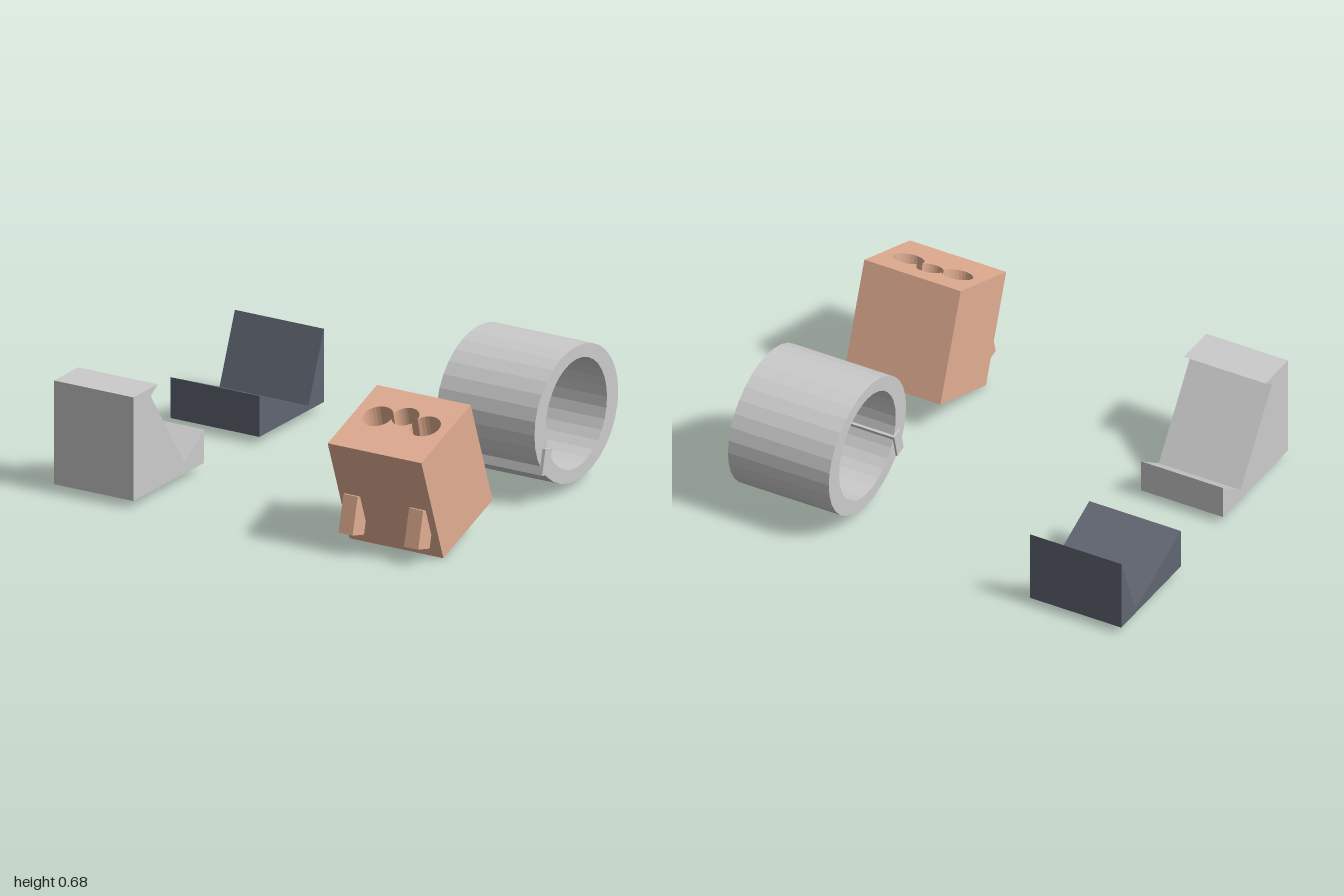
import * as THREE from 'three';

const mat = (color) => new THREE.MeshStandardMaterial({ color, flatShading: true });
const grey = mat(0xcccccc);
const dark = mat(0x606672);
const copper = mat(0xe2ae92);

function add(parent, name, geometry, material, x = 0, y = 0, z = 0, tilt = 0) {
  const mesh = new THREE.Mesh(geometry, material);
  mesh.name = name;
  mesh.position.set(x, y, z);
  mesh.rotation.x = tilt;
  parent.add(mesh);
  return mesh;
}

// Extrudes a (z, y) side profile along x, centred on x = 0
function sideExtrude(shape, width, curveSegments = 16) {
  const g = new THREE.ExtrudeGeometry(shape, { depth: width, bevelEnabled: false, curveSegments });
  return g.translate(0, 0, -width / 2).rotateY(-Math.PI / 2);
}

const polygon = (pts) => new THREE.Shape(pts.map(([a, b]) => new THREE.Vector2(a, b)));

// Block measures and its three sockets
const W = 0.497, H = 0.543, D = 0.443;
const SIDE_X = 0.126, SIDE_R = 0.072, MID_V = 0.035, MID_R = 0.064;

// Outline of three overlapping sockets
function tripleHole() {
  const d = Math.hypot(SIDE_X, MID_V), f = -Math.atan2(MID_V, SIDE_X);
  const a = Math.acos((d * d + MID_R ** 2 - SIDE_R ** 2) / (2 * d * MID_R));
  const b = Math.acos((d * d + SIDE_R ** 2 - MID_R ** 2) / (2 * d * SIDE_R));
  const PI = Math.PI;
  const p = new THREE.Path();
  p.absarc(0, MID_V, MID_R, f + a, PI - f - a);
  p.absarc(-SIDE_X, 0, SIDE_R, b - f, 2 * PI - f - b);
  p.absarc(0, MID_V, MID_R, PI - f + a, 2 * PI + f - a);
  p.absarc(SIDE_X, 0, SIDE_R, PI + f + b, 3 * PI + f - b);
  return p;
}

function roundHole(x) {
  return new THREE.Path().absarc(x, 0, SIDE_R, 0, Math.PI * 2);
}

// One layer of the block between two heights; sockets lean slightly in z
function blockLayer(y0, y1, holes) {
  const w = W / 2, d = D / 2;
  const shape = polygon([[-w, -d], [w, -d], [w, d], [-w, d]]);
  shape.holes.push(...holes);
  const g = new THREE.ExtrudeGeometry(shape, { depth: y1 - y0, bevelEnabled: false, curveSegments: 12 });
  g.rotateX(-Math.PI / 2).translate(0, y0, 0);
  const p = g.attributes.position;
  for (let i = 0; i < p.count; i++) {
    if (Math.abs(p.getZ(i)) < 0.2 && Math.abs(p.getX(i)) < 0.24) {
      p.setZ(i, p.getZ(i) + 0.0105 - 0.116 * p.getY(i));
    }
  }
  g.computeVertexNormals();
  return g;
}

export function createModel() {
  const model = new THREE.Group();
  model.name = 'partsSet';
  const tilt = THREE.MathUtils.degToRad(20);
  const counterTilt = THREE.MathUtils.degToRad(-14);

  // Tilted socket block with two front tabs
  const block = new THREE.Group();
  block.name = 'socketBlock';
  model.add(block);
  const floor = -0.1;
  add(block, 'blockTop', blockLayer(floor, H / 2, [tripleHole()]), copper, 0.7245, 0.335, 0.52, tilt);
  add(block, 'blockBase', blockLayer(-H / 2, floor, [-SIDE_X, SIDE_X].map(roundHole)), copper, 0.7245, 0.335, 0.52, tilt);
  for (const s of [-1, 1]) {
    add(block, s > 0 ? 'leftTab' : 'rightTab', new THREE.BoxGeometry(0.075, 0.178, 0.1), copper,
      0.7245 + s * 0.174, 0.159, 0.7195, counterTilt);
  }

  // Band: oval outside, round inside
  const oval = new THREE.Shape().absellipse(0, 0, 0.354, 0.32, 0, Math.PI * 2);
  oval.holes.push(new THREE.Path().absarc(0, 0, 0.259, 0, Math.PI * 2));
  add(model, 'ring', sideExtrude(oval, 0.52), grey, 0.724, 0.36, -0.47);

  // Cross bar through the front of the band
  add(model, 'ringBar', new THREE.BoxGeometry(0.545, 0.122, 0.058), grey, 0.7275, 0.213, -0.198, counterTilt);

  // Low cradle with a V-shaped seat
  const cradle = polygon([[-0.745, 0.04], [-0.2, 0.04], [-0.2, 0.235], [-0.615, 0.062], [-0.745, 0.39]]);
  add(model, 'darkCradle', sideExtrude(cradle, 0.472), dark, -0.764);

  // Tall cradle with a tilted notch and an overhanging lip
  const tall = polygon([[0.225, 0.04], [0.82, 0.04], [0.82, 0.535], [0.614, 0.535],
    [0.673, 0.495], [0.385, 0.09], [0.225, 0.2]]);
  add(model, 'tallCradle', sideExtrude(tall, 0.422), grey, -0.767);

  return model;
}
